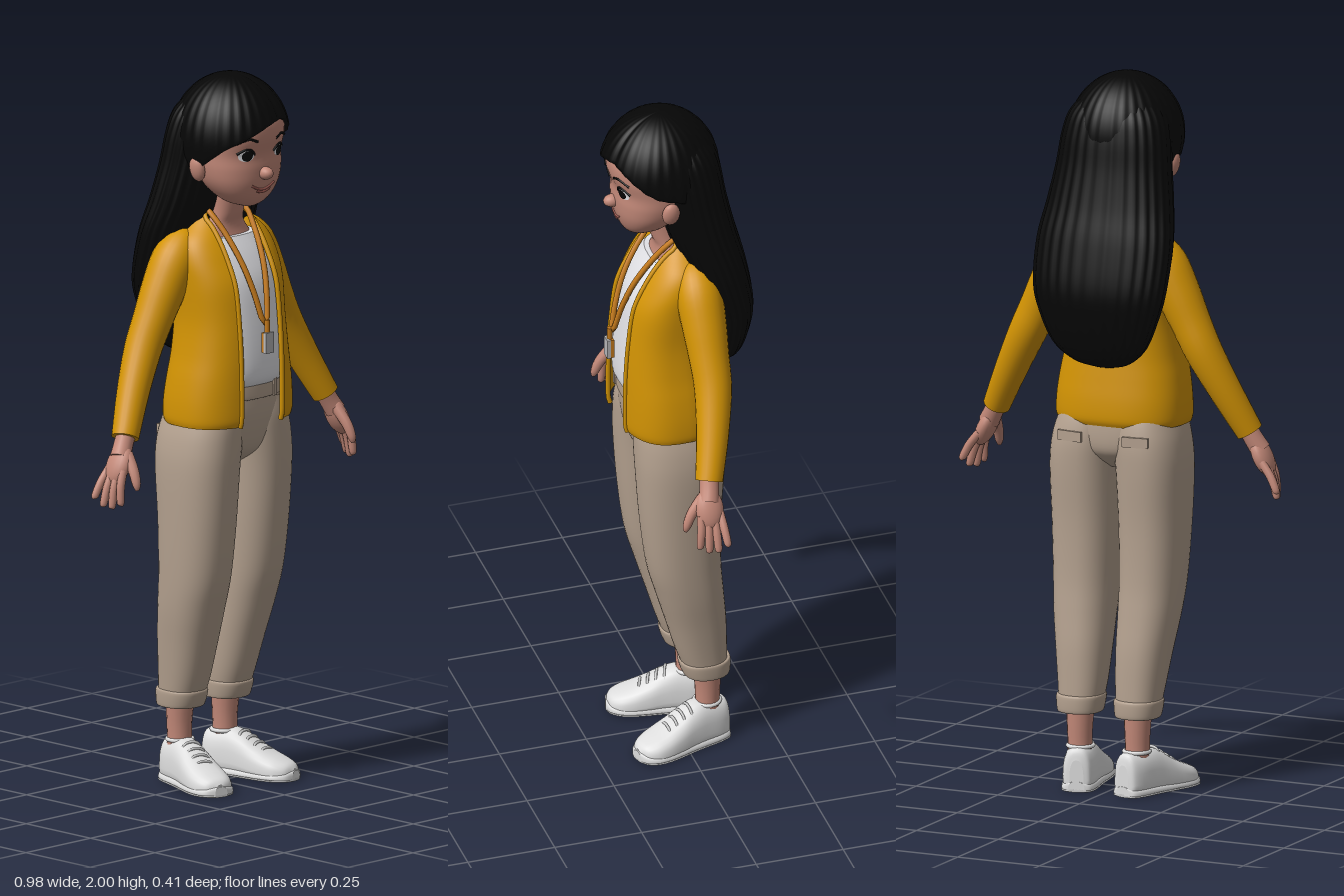
import * as THREE from 'three';

const mat = (name, color, side = THREE.FrontSide) => {
  const m = new THREE.MeshStandardMaterial({ color, side });
  m.name = name;
  return m;
};

// Catmull-Rom refinement of a table of numeric rows
function refine(rows, n = 5) {
  const out = [], at = i => rows[Math.max(0, Math.min(rows.length - 1, i))];
  for (let i = 0; i < rows.length - 1; i++) for (let k = 0; k < n; k++) {
    const t = k / n, [a, b, c, d] = [at(i - 1), at(i), at(i + 1), at(i + 2)];
    out.push(b.map((v, j) => v + 0.5 * t * (c[j] - a[j] + t * (2 * a[j] - 5 * v + 4 * c[j] - d[j] + t * (3 * (v - c[j]) + d[j] - a[j])))));
  }
  out.push(rows[rows.length - 1].slice());
  return out;
}

// Skin over rings of [x, y, z] points; rings run counterclockwise around the direction of travel
function skin(rings, closed = true, caps = true) {
  const n = rings[0].length, pos = rings.flat(2), idx = [];
  for (let i = 0; i < rings.length - 1; i++) for (let j = 0; j < (closed ? n : n - 1); j++) {
    const a = i * n + j, b = i * n + (j + 1) % n;
    idx.push(a, b, b + n, a, b + n, a + n);
  }
  if (caps) [rings[0], rings[rings.length - 1]].forEach((ring, e) => {
    const o = pos.length / 3;
    pos.push(...ring.flat(), ...[0, 1, 2].map(k => ring.reduce((s, p) => s + p[k], 0) / n));
    for (let j = 0; j < n; j++) {
      const k = (j + 1) % n;
      idx.push(o + n, o + (e ? j : k), o + (e ? k : j));
    }
  });
  const g = new THREE.BufferGeometry();
  g.setAttribute('position', new THREE.Float32BufferAttribute(pos, 3));
  g.setIndex(idx);
  g.computeVertexNormals();
  return g;
}

const sp = (v, p) => Math.sign(v) * Math.abs(v) ** (2 / p);

// Upright body from rows [y, centreX, halfWidth, frontZ, backZ], listed bottom to top
function body(rows, { p = 2.3, seg = 40, open = 0, ripple = 0, lobes = 0 } = {}) {
  return skin(refine(rows).map(([y, cx, rx, zf, zb]) => {
    const a0 = open ? Math.asin(Math.min(0.93, open / rx) ** (p / 2)) : 0;
    return Array.from({ length: open ? seg + 1 : seg }, (_, j) => {
      const a = a0 + (Math.PI * 2 - 2 * a0) * j / seg, r = 1 + ripple * Math.cos(lobes * a);
      return [cx + rx * r * sp(Math.sin(a), p), y, (zf + zb) / 2 + (zf - zb) / 2 * r * sp(Math.cos(a), p)];
    });
  }), !open, !open);
}

// Round limb along rows [x, y, z, radius]
function limb(rows, seg = 16, n = 4) {
  const R = refine(rows, n), P = R.map(r => new THREE.Vector3(...r));
  return skin(R.map((r, i) => {
    const t = P[Math.min(i + 1, P.length - 1)].clone().sub(P[Math.max(i - 1, 0)]).normalize();
    const u = new THREE.Vector3(0, 0, 1).addScaledVector(t, -t.z).normalize(), b = t.clone().cross(u);
    return Array.from({ length: seg }, (_, j) => {
      const a = j / seg * Math.PI * 2;
      return P[i].clone().addScaledVector(u, r[3] * Math.cos(a)).addScaledVector(b, r[3] * Math.sin(a)).toArray();
    });
  }));
}

const tube = (pts, r, closed = false) =>
  new THREE.TubeGeometry(new THREE.CatmullRomCurve3(pts.map(p => new THREE.Vector3(...p)), closed), 40, r, 8, closed);

export function createModel() {
  const root = new THREE.Group();
  root.name = 'standingWoman';
  const black = mat('hairBlack', 0x060606, THREE.DoubleSide), skinM = mat('skin', 0xc28878);
  const mustard = mat('mustardKnit', 0xd29303, THREE.DoubleSide), white = mat('whiteCotton', 0xe2e2e6);
  const beige = mat('beigeCloth', 0xb4a18f), shoeM = mat('shoeWhite', 0xdedede), soleM = mat('soleGrey', 0xcacaca);
  const strapM = mat('strapOrange', 0xc47a1c), metal = mat('badgeGrey', 0xb8b8ba), lipM = mat('lips', 0x9c5a52);
  const add = (name, geo, m, parent = root) => {
    const o = new THREE.Mesh(geo, m);
    o.name = name;
    parent.add(o);
    return o;
  };

  // Head and neck
  const headRows = [[1.638, 0, .022, .128, .075], [1.65, 0, .055, .145, .045], [1.675, 0, .088, .16, .015], [1.71, 0, .113, .17, -.02],
    [1.75, 0, .126, .173, -.05], [1.79, 0, .13, .172, -.07], [1.84, 0, .132, .186, -.08], [1.89, 0, .122, .178, -.07], [1.94, 0, .08, .125, -.03]];
  add('head', body(headRows), skinM);
  add('neck', body([[1.47, 0, .1, .09, -.05], [1.53, 0, .095, .065, -.05], [1.575, 0, .065, .055, -.04], [1.61, 0, .052, .065, -.03], [1.69, 0, .054, .085, -.03]]), skinM);

  // Facial details laid on the surface of the face
  const dense = refine(headRows, 12);
  const faceZ = (x, y) => {
    const [, , rx, zf, zb] = dense.find(r => r[0] >= y) || dense[dense.length - 1];
    return (zf + zb) / 2 + (zf - zb) / 2 * (1 - Math.min(1, Math.abs(x / rx)) ** 2.3) ** (1 / 2.3);
  };
  const disc = (name, x, y, rx, ry, lift, m) => {
    const g = new THREE.RingGeometry(0.001, 1, 24, 4), q = g.attributes.position;
    for (let i = 0; i < q.count; i++) {
      const px = x + q.getX(i) * rx, py = y + q.getY(i) * ry;
      q.setXYZ(i, px, py, faceZ(px, py) + lift);
    }
    g.computeVertexNormals();
    add(name, g, m);
  };
  const line = (name, pts, r, m) => add(name, tube(pts.map(([x, y]) => [x, y, faceZ(x, y)]), r), m);
  const nose = add('nose', new THREE.SphereGeometry(1, 20, 14), skinM);
  nose.position.set(0, 1.737, .176);
  nose.scale.set(.019, .018, .025);
  line('upperLip', [[-.042, 1.705], [-.02, 1.694], [0, 1.69], [.02, 1.694], [.042, 1.705]], .0035, lipM);
  line('lowerLip', [[-.026, 1.69], [0, 1.683], [.026, 1.69]], .0045, lipM);

  for (const s of [1, -1]) {
    const side = s > 0 ? 'left' : 'right';
    disc(side + 'EyeWhite', s * .061, 1.792, .023, .016, .002, white);
    disc(side + 'Iris', s * .06, 1.792, .0155, .0155, .004, black);
    line(side + 'Lashes', [[s * .036, 1.793], [s * .048, 1.806], [s * .064, 1.81], [s * .087, 1.798]], .0035, black);
    line(side + 'Eyebrow', [[s * .035, 1.831], [s * .06, 1.84], [s * .092, 1.829]], .0035, black);
    const ear = add(side + 'Ear', new THREE.SphereGeometry(1, 18, 12), skinM);
    ear.position.set(s * .138, 1.75, .05);
    ear.scale.set(.017, .036, .025);
    ear.rotation.z = -s * .2;

    // Sleeve, hand and fingers
    add(side + 'Sleeve', limb([[s * .085, 1.565, -.025, .012], [s * .11, 1.538, -.025, .046], [s * .148, 1.488, -.026, .064], [s * .19, 1.412, -.028, .062],
      [s * .23, 1.333, -.029, .056], [s * .272, 1.25, -.028, .052], [s * .33, 1.14, -.008, .045], [s * .387, 1.03, .02, .038]], 24), mustard);
    add(side + 'Wrist', limb([[s * .37, 1.06, .015, .027], [s * .395, 1.015, .022, .027], [s * .415, .98, .03, .029]]), skinM);
    const palm = add(side + 'Palm', new THREE.SphereGeometry(1, 20, 14), skinM);
    palm.position.set(s * .422, .962, .03);
    palm.scale.set(.025, .058, .04);
    palm.rotation.z = s * .45;
    for (let i = 0; i < 4; i++) {
      const z = .003 + i * .018, len = [.072, .092, .096, .086][i], k = (i - 1.5) * .005;
      add(side + 'Finger' + (i + 1), limb([[s * .432, .95, z, .012], [s * (.453 - k), .95 - len * .5, z + k * .5, .0118],
        [s * (.464 - k * 2), .95 - len, z + k, .0105], [s * (.466 - k * 2), .941 - len, z + k, .005]], 10), skinM);
    }
    add(side + 'Thumb', limb([[s * .405, .99, .045, .017], [s * .412, .95, .077, .015], [s * .416, .915, .093, .012], [s * .417, .898, .097, .005]], 10), skinM);

    // Trouser leg, cuff, ankle and back pocket
    add(side + 'TrouserLeg', body([[.225, s * .088, .057, -.008, -.124], [.3, s * .088, .066, .02, -.122], [.4, s * .092, .075, .05, -.118], [.5, s * .098, .083, .08, -.108],
      [.6, s * .101, .088, .107, -.1], [.75, s * .102, .094, .126, -.1], [.9, s * .101, .099, .137, -.11], [.98, s * .094, .099, .14, -.111], [1.04, s * .085, .092, .139, -.1], [1.09, s * .078, .08, .13, -.08]]), beige);
    add(side + 'Cuff', body([[.218, s * .088, .057, -.008, -.124], [.224, s * .088, .062, .001, -.131], [.262, s * .088, .066, .012, -.132], [.268, s * .088, .06, .002, -.126]]), beige);
    add(side + 'Ankle', limb([[s * .088, .06, -.07, .036], [s * .088, .12, -.07, .034], [s * .088, .18, -.07, .036], [s * .088, .26, -.066, .042]]), skinM);
    const flap = add(side + 'PocketFlap', new THREE.BoxGeometry(.075, .028, .008), beige);
    flap.position.set(s * .1, .995, -.109);
    flap.rotation.y = s * -.12;

    // Shoe, lofted from heel to toe and turned outwards
    const shoe = new THREE.Group();
    shoe.name = side + 'Shoe';
    shoe.position.set(s * .086, 0, -.07);
    shoe.rotation.y = s * .26;
    root.add(shoe);
    const shoeRows = [[-.058, .02, .09], [-.05, .037, .118], [-.02, .046, .124], [.03, .049, .13], [.07, .052, .117],
      [.11, .057, .093], [.15, .06, .073], [.185, .056, .059], [.212, .04, .047], [.224, .016, .034]];
    const slice = ([z, w, h], lo, grow) => Array.from({ length: 24 }, (_, j) => {
      const a = j / 24 * Math.PI * 2, sn = Math.sin(a);
      return [(w + grow) * sp(Math.cos(a), 2.6), Math.max(lo, h * .3 + (sn > 0 ? h * .7 : h * .3) * sp(sn, 2.6)), z];
    });
    add(side + 'ShoeUpper', skin(refine(shoeRows).map(r => slice(r, .01, 0))), shoeM, shoe);
    add(side + 'ShoeRand', skin(refine(shoeRows).map(([z, w]) => slice([z * 1.015, w, .03], .006, .003))), shoeM, shoe);
    add(side + 'ShoeSole', skin(refine(shoeRows).map(([z, w]) => slice([z * 1.015, w, .009], 0, .003))), soleM, shoe);
    add(side + 'ShoeCollar', new THREE.TorusGeometry(.035, .006, 8, 24).rotateX(Math.PI / 2).translate(0, .121, 0), shoeM, shoe);
    for (let i = 0; i < 4; i++) {
      const z = .062 + i * .023, h = .122 - i * .0135;
      add(side + 'Lace' + (i + 1), tube([[-.032, h - .02, z], [-.015, h - .001, z], [.015, h - .001, z + .004], [.032, h - .02, z + .004]], .004), soleM, shoe);
    }
  }

  // Trouser seat and waistband
  add('trouserSeat', body([[.905, 0, .03, .06, -.04], [.935, 0, .09, .105, -.08], [.97, 0, .15, .127, -.1], [1.04, 0, .172, .142, -.1], [1.1, 0, .162, .143, -.085], [1.15, 0, .15, .14, -.075]]), beige);
  add('waistband', body([[1.098, 0, .163, .148, -.085], [1.104, 0, .166, .151, -.088], [1.145, 0, .156, .149, -.08], [1.152, 0, .15, .144, -.075]]), beige);
  for (const x of [-.065, .065]) add('beltLoop', new THREE.BoxGeometry(.012, .055, .008).translate(x, 1.125, .146), beige);

  // Shirt and open cardigan
  add('shirt', body([[1.135, 0, .145, .148, -.07], [1.16, 0, .15, .163, -.075], [1.22, 0, .148, .164, -.078], [1.32, 0, .143, .154, -.075],
    [1.42, 0, .145, .137, -.08], [1.49, 0, .14, .107, -.078], [1.545, 0, .1, .074, -.065]], { p: 2.4 }), white);
  const knit = [[1.03, 0, .186, .163, -.103], [1.05, 0, .19, .168, -.11], [1.1, 0, .188, .169, -.109], [1.16, 0, .18, .169, -.102], [1.23, 0, .167, .168, -.094], [1.32, 0, .158, .162, -.09],
    [1.42, 0, .162, .147, -.094], [1.49, 0, .163, .115, -.094], [1.54, 0, .148, .085, -.09], [1.58, 0, .108, .058, -.078], [1.615, 0, .07, .035, -.06]];
  const P = 2.5, OPEN = .078;
  add('cardigan', body(knit, { p: P, open: OPEN, seg: 56 }), mustard);
  for (const s of [1, -1]) add('cardiganFrontBand', tube(refine(knit, 2).map(([y, , rx, zf, zb]) => {
    const f = Math.min(.93, OPEN / rx);
    return [s * f * rx, y, (zf + zb) / 2 + (zf - zb) / 2 * (1 - f ** P) ** (1 / P)];
  }), .007), mustard);
  add('cardiganCollar', tube([[-.066, 1.613, .012], [-.062, 1.618, -.035], [0, 1.622, -.06], [.062, 1.618, -.035], [.066, 1.613, .012]], .009), mustard);

  // Lanyard with clip and badge
  const half = [[.066, 1.612, .028], [.056, 1.56, .076], [.04, 1.48, .126], [.024, 1.4, .156], [.004, 1.315, .175]];
  add('lanyard', tube([[0, 1.632, -.05], [.05, 1.63, -.025], ...half, ...half.map(([x, y, z]) => [-x, y, z]).reverse(), [-.05, 1.63, -.025]], .008, true), strapM);
  add('lanyardClip', new THREE.CylinderGeometry(.008, .008, .04, 10).translate(0, 1.305, .183), strapM);
  add('badge', new THREE.BoxGeometry(.03, .058, .01).translate(0, 1.262, .189), metal);
  add('badgeBack', new THREE.BoxGeometry(.028, .056, .01).translate(0, 1.262, .179), strapM);

  // Hair cap with a side parting: its lower edge rises over the forehead and sweeps down both sides
  const cap = [], PART = .32;
  for (let i = -1; i <= 20; i++) cap.push(Array.from({ length: 150 }, (_, j) => {
    const a = j / 150 * Math.PI * 2, d = a > Math.PI ? a - Math.PI * 2 : a, off = Math.abs(d - PART);
    const edge = 1.24 + .5 * THREE.MathUtils.smoothstep(off, 0, d > PART ? 1.2 : 1.7) + .36 * THREE.MathUtils.smoothstep(off, 1.1, 2.1);
    const t = edge * (1 - Math.max(i, 0) / 20), groove = .035 * Math.exp(-(((d - PART) / .1) ** 2)) * Math.sin(t);
    const r = (i < 0 ? .86 : 1) * (1 + .009 * Math.cos(30 * a) * Math.sin(t) ** 2 - groove);
    return [.158 * r * Math.sin(t) * Math.sin(a), 1.828 + .172 * r * Math.cos(t), .041 + .164 * r * Math.sin(t) * Math.cos(a)];
  }));
  add('hairCap', skin(cap, true, false), black);

  // Long hair falling down the back
  add('longHair', body([[1.197, 0, .03, -.08, -.11], [1.215, 0, .085, -.077, -.145], [1.265, 0, .14, -.072, -.178], [1.35, 0, .178, -.062, -.2], [1.43, 0, .198, -.045, -.205],
    [1.55, 0, .201, .0, -.184], [1.65, 0, .185, .04, -.158], [1.75, 0, .168, .064, -.136], [1.84, 0, .156, .08, -.121], [1.9, 0, .136, .085, -.102], [1.95, 0, .09, .07, -.06]],
    { p: 2.1, seg: 150, ripple: .014, lobes: 30 }), black);
  return root;
}
